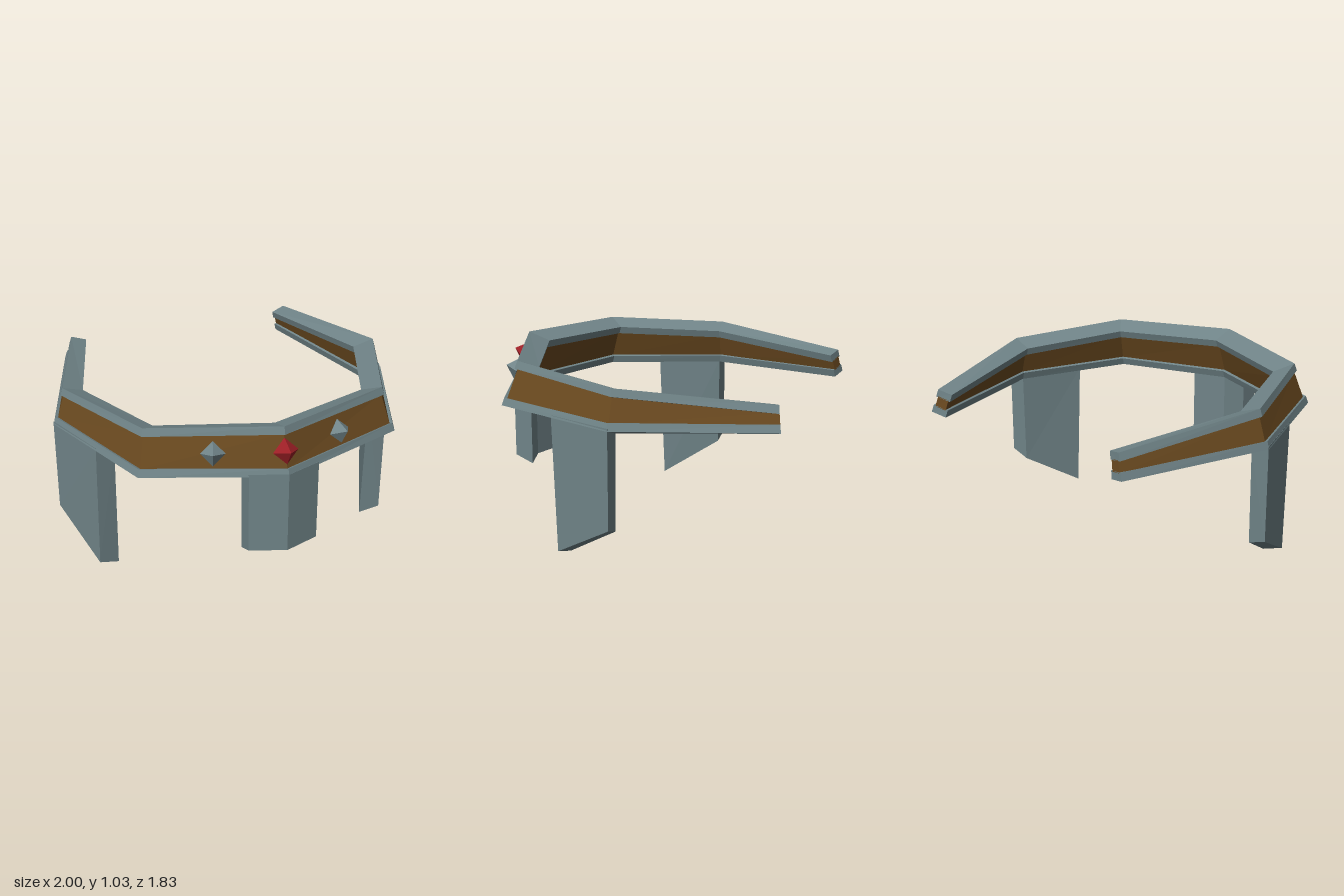
import * as THREE from 'three';

const material = (color) => new THREE.MeshStandardMaterial({ color, flatShading: true });
const steel = material(0x708488);
const leather = material(0x6b4a20);
const ruby = material(0x9c1f26);

// Skins four-cornered sections (outer bottom, inner bottom, inner top, outer top)
// that run from the model's right, around the front, to its left.
function loft(name, sections, mat) {
  const pos = [];
  const quad = (a, b, c, d) => pos.push(...a, ...b, ...c, ...a, ...c, ...d);
  for (let i = 0; i < sections.length - 1; i++) {
    const s = sections[i], t = sections[i + 1];
    for (let k = 0; k < 4; k++) {
      const n = (k + 1) % 4;
      quad(s[n], t[n], t[k], s[k]);
    }
  }
  const first = sections[0], last = sections[sections.length - 1];
  quad(first[0], first[3], first[2], first[1]);
  quad(last[0], last[1], last[2], last[3]);
  const geo = new THREE.BufferGeometry();
  geo.setAttribute('position', new THREE.Float32BufferAttribute(pos, 3));
  geo.computeVertexNormals();
  const mesh = new THREE.Mesh(geo, mat);
  mesh.name = name;
  return mesh;
}

const mirrored = (sections) =>
  sections.map((s) => s.map(([x, y, z]) => [-x, y, z])).reverse();

const mix = (a, b, t) => a.map((v, i) => v + (b[i] - v) * t);

// Envelope of the headband at the front, front corner, side and back end
const frames = [
  [[0, 0.78, 0.9], [0, 0.735, 0.78], [0, 0.99, 0.69], [0, 1.035, 0.82]],
  [[0.73, 0.78, 0.64], [0.64, 0.735, 0.55], [0.595, 0.975, 0.475], [0.675, 1.02, 0.565]],
  [[1, 0.775, -0.08], [0.885, 0.735, -0.09], [0.82, 0.945, -0.1], [0.937, 0.985, -0.085]],
  [[0.735, 0.775, -0.91], [0.645, 0.755, -0.885], [0.61, 0.89, -0.86], [0.695, 0.91, -0.887]],
];

// Cuts a layer out of the envelope: lo and hi give heights as fractions, inset narrows it
function layer(name, lo, hi, inset, mat) {
  const half = frames.map(([ob, ib, it, ot]) => {
    const h = ot[1] - ob[1];
    const at = (u, v) => mix(mix(ob, ib, u), mix(ot, it, u), v);
    const a = lo(h), b = hi(h);
    return [at(inset, a), at(1 - inset, a), at(1 - inset, b), at(inset, b)];
  });
  return loft(name, [...mirrored(half).slice(0, -1), ...half], mat);
}

// Octahedral stud half sunk into the leaning band
function stud(name, x, y, z, yaw, radius, depth, mat) {
  const geo = new THREE.OctahedronGeometry(1, 0);
  geo.scale(radius, radius, depth);
  const mesh = new THREE.Mesh(geo, mat);
  mesh.name = name;
  mesh.position.set(x, y, z);
  mesh.rotation.set(-0.33, yaw, 0, 'YXZ');
  return mesh;
}

export function createModel() {
  const group = new THREE.Group();
  group.name = 'helmetFrame';

  // Headband: lower rim, recessed band, upper rim
  const rim = 0.042;
  group.add(
    layer('lowerRim', () => 0, (h) => rim / h, 0, steel),
    layer('band', (h) => (rim - 0.005) / h, (h) => 1 - (rim - 0.005) / h, 0.13, leather),
    layer('upperRim', (h) => 1 - rim / h, () => 1, 0, steel),
  );

  // Nose guard, folded along the middle
  const noseHalf = [
    [[0, 0.33, 0.9], [0, 0.285, 0.785], [0, 0.75, 0.785], [0, 0.795, 0.9]],
    [[0.195, 0.33, 0.832], [0.195, 0.285, 0.727], [0.195, 0.75, 0.727], [0.195, 0.795, 0.832]],
  ];
  group.add(loft('noseGuard', [mirrored(noseHalf)[0], ...noseHalf], steel));

  // Cheek guards, longer toward the front
  const cheek = [
    [[0.865, 0.04, 0.262], [0.752, 0.005, 0.238], [0.752, 0.75, 0.27], [0.858, 0.79, 0.29]],
    [[1, 0.245, -0.085], [0.89, 0.205, -0.08], [0.89, 0.745, -0.085], [1, 0.79, -0.085]],
  ];
  group.add(loft('leftCheekGuard', cheek, steel));
  group.add(loft('rightCheekGuard', mirrored(cheek), steel));

  // Front gem and the studs beside it
  group.add(stud('centreGem', 0, 0.905, 0.845, 0, 0.07, 0.075, ruby));
  for (const s of [1, -1]) {
    group.add(stud(s > 0 ? 'leftStud' : 'rightStud', s * 0.353, 0.895, 0.727, s * 0.34, 0.066, 0.066, steel));
  }
  return group;
}
